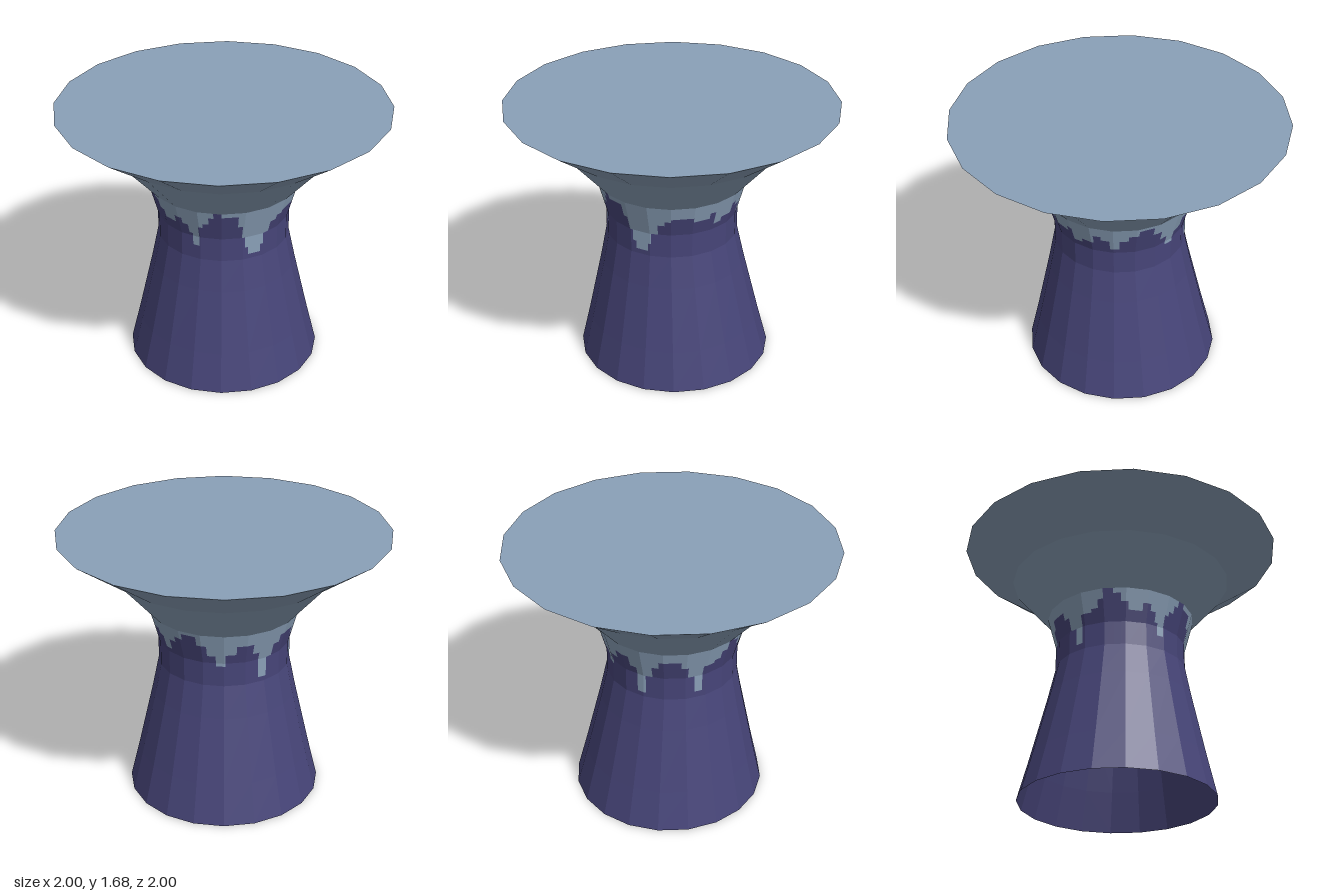
import * as THREE from 'three';

const SIDES = 20;
const STEP = 360 / SIDES;

// Profile as [height, radius]
const PROFILE = [[0, 0.602], [0.25, 0.54], [0.65, 0.447], [0.85, 0.405], [1.0, 0.405], [1.2, 0.46], [1.46, 0.69], [1.68, 1.0]];

// Stepped lower edge of the drips: [start angle from the front in degrees, height]
const DRIPS = [
  [0, 1.12], [3, 1.08], [8, 1.02], [11, 0.94], [17, 1.08], [21, 1.11], [26, 1.16], [30, 1.2], [36, 1.17],
  [49, 1.09], [53, 1.0], [56, 0.93], [59, 0.88], [70, 0.93], [73, 1.0], [79, 1.07], [85, 1.1], [90, 1.12],
  [108, 1.09], [122, 1.13], [127, 1.04], [135, 1.07], [146, 1.13], [152, 1.1], [159, 1.03], [167, 1.1],
  [174, 1.14], [182, 1.18], [194, 1.12], [202, 1.05], [209, 0.98], [217, 1.06], [226, 1.12], [240, 1.05],
  [246, 0.88], [254, 1.0], [260, 1.08], [266, 1.13], [284, 1.08], [290, 1.0], [296, 0.89], [303, 1.07],
  [313, 1.09], [319, 1.14], [324, 1.2], [332, 1.17], [338, 1.12], [344, 1.07], [356, 1.12],
];

function radiusAt(y) {
  for (let i = 1; i < PROFILE.length; i++) {
    const [y0, r0] = PROFILE[i - 1], [y1, r1] = PROFILE[i];
    if (y <= y1) return r0 + (r1 - r0) * (y - y0) / (y1 - y0);
  }
  return 1;
}

// Point on the faceted surface; the foot leans slightly off centre
function point(deg, y) {
  const k = Math.floor(deg / STEP), t = deg / STEP - k, r = radiusAt(y);
  const a0 = THREE.MathUtils.degToRad(k * STEP), a1 = THREE.MathUtils.degToRad((k + 1) * STEP);
  const lean = Math.max(0, 1 - y / 0.85);
  return [
    r * THREE.MathUtils.lerp(Math.sin(a0), Math.sin(a1), t) - 0.012 * lean, y,
    r * THREE.MathUtils.lerp(Math.cos(a0), Math.cos(a1), t) - 0.018 * lean,
  ];
}

// Flat-shaded band between two heights, broken at every profile ring
function addBand(out, a, b, low, high) {
  if (high - low < 1e-4) return;
  const ys = [low, ...PROFILE.map((p) => p[0]).filter((y) => y > low && y < high), high];
  for (let i = 1; i < ys.length; i++) {
    const p = point(a, ys[i - 1]), q = point(b, ys[i - 1]), r = point(b, ys[i]), s = point(a, ys[i]);
    out.push(...p, ...q, ...r, ...p, ...r, ...s);
  }
}

function makeMesh(name, positions, material) {
  const g = new THREE.BufferGeometry();
  g.setAttribute('position', new THREE.Float32BufferAttribute(positions, 3));
  g.computeVertexNormals();
  const mesh = new THREE.Mesh(g, material);
  mesh.name = name;
  return mesh;
}

export function createModel() {
  const group = new THREE.Group();
  group.name = 'flaredPedestal';
  const stone = new THREE.MeshStandardMaterial({ color: 0x8aa0b8, side: THREE.DoubleSide, flatShading: true });
  stone.name = 'blueGrey';
  const purple = new THREE.MeshStandardMaterial({ color: 0x474579, side: THREE.DoubleSide, flatShading: true });
  purple.name = 'darkPurple';

  // Hollow stem and flared bowl, one facet at a time
  const stem = [], bowl = [];
  for (let a = 0; a < 360; a += STEP) {
    addBand(stem, a, a + STEP, 0, 0.85);
    addBand(bowl, a, a + STEP, 1.2, 1.68);
  }

  // Neck, split into drips above and stem colour below
  const neck = [], drips = [];
  DRIPS.forEach(([start, edge], i) => {
    const end = i + 1 < DRIPS.length ? DRIPS[i + 1][0] : 360;
    for (let a = start; a < end;) {
      const b = Math.min(end, (Math.floor(a / STEP) + 1) * STEP);
      addBand(neck, a, b, 0.85, edge);
      addBand(drips, a, b, edge, 1.2);
      a = b;
    }
  });

  group.add(
    makeMesh('stem', stem, purple),
    makeMesh('neck', neck, purple),
    makeMesh('drips', drips, stone),
    makeMesh('flaredBowl', bowl, stone),
  );

  // Flat top
  const top = new THREE.Mesh(new THREE.CircleGeometry(1, SIDES), stone);
  top.rotation.x = -Math.PI / 2;
  top.position.y = 1.68;
  top.name = 'top';
  group.add(top);
  return group;
}
